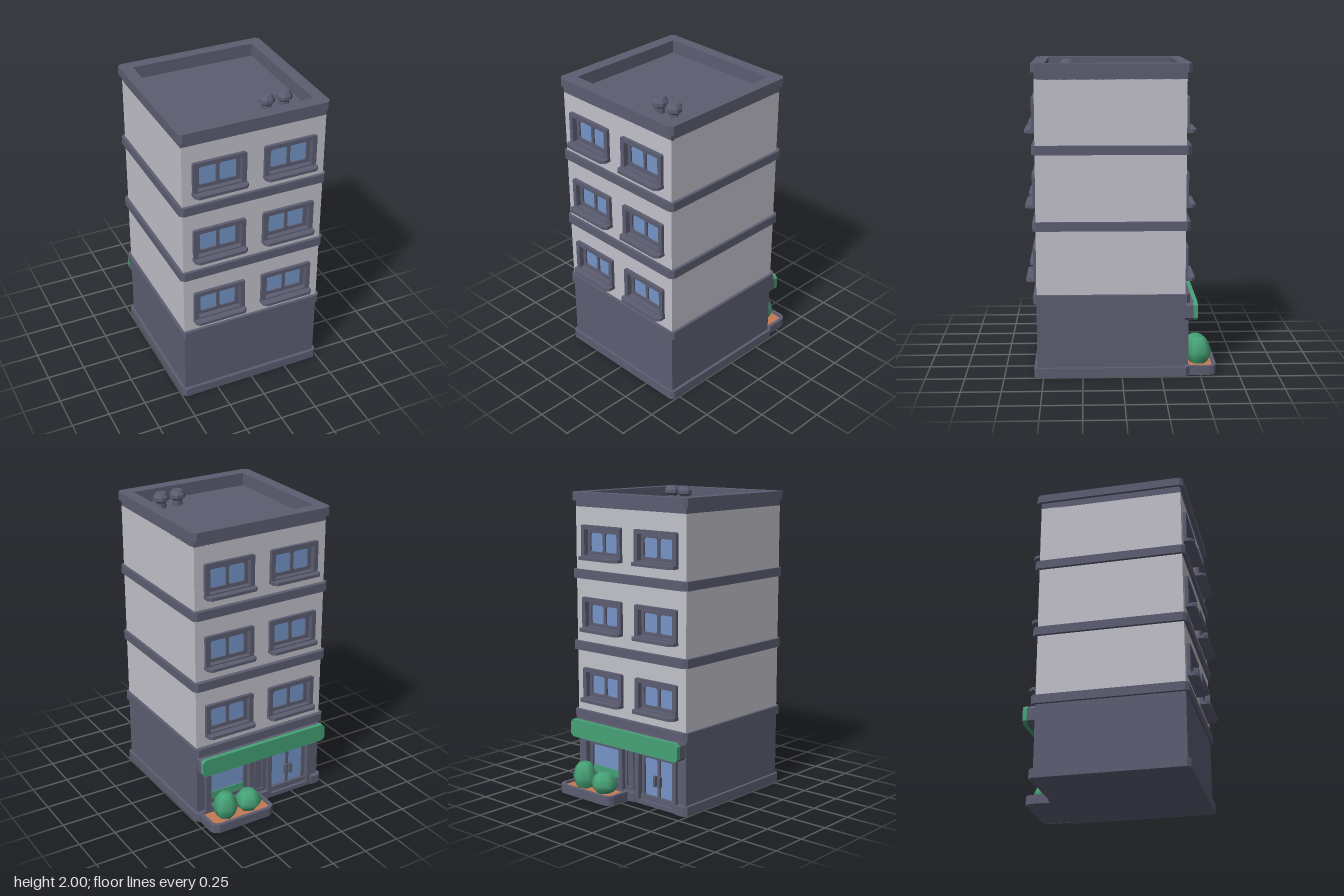
import * as THREE from 'three';

const mat = (name, color) => Object.assign(new THREE.MeshStandardMaterial({ color }), { name });

// Rectangle with clipped corners
function clipped(Type, cx, cy, w, h, c = 0) {
  const x = w / 2, y = h / 2;
  const pts = c
    ? [[-x + c, -y], [x - c, -y], [x, -y + c], [x, y - c], [x - c, y], [-x + c, y], [-x, y - c], [-x, -y + c]]
    : [[-x, -y], [x, -y], [x, y], [-x, y]];
  return new Type(pts.map(([a, b]) => new THREE.Vector2(a + cx, b + cy)));
}
const shape = (...a) => clipped(THREE.Shape, ...a);
const hole = (...a) => clipped(THREE.Path, ...a);

function add(parent, name, geometry, material, x = 0, y = 0, z = 0) {
  const m = new THREE.Mesh(geometry, material);
  m.name = name;
  m.position.set(x, y, z);
  parent.add(m);
  return m;
}

// Upright plate from z0 to z1
function plate(s, z0, z1, holes = []) {
  s.holes.push(...holes);
  return new THREE.ExtrudeGeometry(s, { depth: z1 - z0, bevelEnabled: false }).translate(0, 0, z0);
}
// Flat slab from y0 to y1; the outline's second axis is -z
function slab(s, y0, y1, holes = []) {
  return plate(s, y0, y1, holes).rotateX(-Math.PI / 2);
}

export function createModel() {
  const root = new THREE.Group();
  root.name = 'cornerBuilding';
  const wall = mat('paleWall', 0xc2c1ca);
  const trim = mat('slateTrim', 0x5c5e72);
  const glass = mat('blueGlass', 0x7595c8);
  const green = mat('leafGreen', 0x46a277);
  const soil = mat('terracottaSoil', 0xc27a55);

  const CX = 0.235, PITCH = 0.473, MID = -0.065;
  const rows = [0, 1, 2].map(i => 0.718 + i * PITCH);

  // Core and pierced front and back walls
  add(root, 'groundCore', new THREE.BoxGeometry(0.95, 0.5, 0.86), trim, 0, 0.25, 0.07);
  add(root, 'upperCore', new THREE.BoxGeometry(0.95, 1.39, 0.86), wall, 0, 1.195, 0.07);
  add(root, 'groundFrontWall', new THREE.BoxGeometry(0.95, 0.5, 0.04), trim, 0, 0.25, 0.52);
  const windowHoles = () => rows.flatMap(y => [-CX, CX].map(x => hole(x, y - 1.195, 0.32, 0.19)));
  for (const [name, z] of [['upperFrontWall', 0.52], ['upperBackWall', -0.38]])
    add(root, name, plate(shape(0, 0, 0.95, 1.39), -0.02, 0.02, windowHoles()), wall, 0, 1.195, z);
  add(root, 'groundBackWall', plate(shape(0, 0.25, 0.95, 0.5), -0.4, -0.36,
    [hole(-CX, 0.185, 0.32, 0.32), hole(CX, 0.215, 0.32, 0.26)]), trim);

  // Framed pair of panes, facing +z from the wall plane
  function framedPanes(name, w, h) {
    const g = new THREE.Group();
    g.name = name;
    const iw = w - 0.06, ih = h - 0.055, pw = 0.112, ph = ih - 0.045;
    add(g, 'outerFrame', plate(shape(0, 0, w, h, 0.006), -0.04, 0.022, [hole(0, 0, iw, ih)]), trim);
    add(g, 'innerFrame', plate(shape(0, 0, iw, ih), -0.04, -0.012,
      [-1, 1].map(s => hole(s * 0.066, 0, pw, ph, 0.01))), trim);
    for (const s of [-1, 1])
      add(g, 'pane', new THREE.BoxGeometry(pw, ph, 0.006), glass, s * 0.066, 0, -0.026);
    root.add(g);
    return g;
  }

  // Upper windows with sills on both faces
  for (const front of [true, false]) for (const y of rows) for (const x of [-CX, CX]) {
    const g = framedPanes('window', 0.35, 0.222);
    const sill = new THREE.Shape([[-0.177, 0], [-0.177, -0.045], [-0.155, -0.067], [0.155, -0.067],
      [0.177, -0.045], [0.177, 0]].map(p => new THREE.Vector2(...p)));
    add(g, 'sill', slab(sill, -0.112, -0.092), trim);
    g.position.set(x, y, front ? 0.54 : -0.4);
    if (!front) g.rotation.y = Math.PI;
  }

  // Storey bands
  for (const y of [0.48, 0.947, 1.425])
    add(root, 'storeyBand', slab(shape(0, MID, 0.99, 0.99, 0.022), y, y + 0.057), trim);

  // Sunken roof with raised rim
  add(root, 'roofDeck', slab(shape(0, -0.07, 0.95, 0.94), 1.885, 1.9), trim);
  const roofHole = () => [hole(0, -0.06, 0.83, 0.83)];
  add(root, 'parapetBase', slab(shape(0, -0.07, 0.95, 0.94), 1.9, 1.93, roofHole()), trim);
  add(root, 'parapetCap', slab(shape(0, MID, 0.99, 0.99, 0.022), 1.93, 1.985, roofHole()), trim);

  // Roof vents
  const ventProfile = [[0.033, 1.9], [0.033, 1.935], [0.051, 1.95], [0.051, 1.972], [0.034, 2], [0, 2]];
  for (const x of [0.173, 0.292]) {
    const geo = new THREE.LatheGeometry(ventProfile.map(p => new THREE.Vector2(...p)), 8, Math.PI / 8).toNonIndexed();
    geo.computeVertexNormals();
    add(root, 'roofVent', geo, trim, x, 0, 0.337);
  }

  // Plinth, cut away at the doorway
  const plinth = new THREE.Shape([[-0.473, -0.56], [0.473, -0.56], [0.495, -0.538], [0.495, 0.408],
    [0.473, 0.43], [-0.06, 0.43], [-0.06, 0.4], [-0.41, 0.4], [-0.41, 0.43], [-0.473, 0.43],
    [-0.495, 0.408], [-0.495, -0.538]].map(p => new THREE.Vector2(...p)));
  add(root, 'plinth', slab(plinth, 0, 0.06), trim);

  // Double door with handle plates
  const door = framedPanes('doubleDoor', 0.35, 0.36);
  door.position.set(-CX, 0.18, -0.4);
  door.rotation.y = Math.PI;
  for (const s of [-1, 1])
    add(door, 'doorHandle', new THREE.BoxGeometry(0.02, 0.07, 0.025), trim, s * 0.018, -0.01, 0);

  // Shop window with a single pane and a leafy strip along its foot
  const shop = new THREE.Group();
  shop.name = 'shopWindow';
  add(shop, 'outerFrame', plate(shape(0, 0, 0.37, 0.3), -0.04, 0.027, [hole(0, 0, 0.3, 0.24)]), trim);
  add(shop, 'innerFrame', plate(shape(0, 0, 0.3, 0.24), -0.04, -0.012, [hole(0, 0, 0.25, 0.195, 0.01)]), trim);
  add(shop, 'pane', new THREE.BoxGeometry(0.25, 0.195, 0.006), glass, 0, 0, -0.028);
  add(shop, 'leafStrip', new THREE.BoxGeometry(0.25, 0.05, 0.008), green, 0, -0.073, -0.022);
  shop.position.set(CX, 0.21, -0.4);
  shop.rotation.y = Math.PI;
  root.add(shop);

  // Pillar panel between window and door
  add(root, 'pillarPanel', plate(shape(0, 0.21, 0.07, 0.27), -0.412, -0.4, [hole(0, 0.21, 0.045, 0.24)]), trim);

  // Awning board
  add(root, 'awningBacking', plate(shape(0, 0.42, 0.945, 0.12, 0.02), -0.453, -0.4), trim);
  add(root, 'awningFace', plate(shape(0, 0.42, 0.945, 0.12, 0.02), -0.48, -0.453), green);

  // Planter with soil
  const planter = (inset, Type) => new Type([[inset, 0.42], [0.47 - inset, 0.42], [0.47 - inset, 0.56],
    [0.458 - inset, 0.59 - inset * 0.6], [0.425 - inset * 0.6, 0.607 - inset], [0.045 + inset * 0.6, 0.607 - inset],
    [0.012 + inset, 0.59 - inset * 0.6], [inset, 0.56]].map(p => new THREE.Vector2(...p)));
  add(root, 'planterRim', slab(planter(0, THREE.Shape), 0, 0.06, [planter(0.023, THREE.Path)]), trim);
  add(root, 'planterFloor', slab(planter(0.01, THREE.Shape), 0.001, 0.02), trim);
  add(root, 'planterSoil', slab(planter(0.022, THREE.Shape), 0.021, 0.046), soil);

  // Bushes
  function bush(x, z, profile) {
    add(root, 'bush', new THREE.LatheGeometry(profile.map(p => new THREE.Vector2(...p)), 6), green, x, 0, z);
  }
  bush(0.145, -0.498, [[0.055, 0.04], [0.075, 0.065], [0.092, 0.1], [0.07, 0.15], [0.04, 0.175], [0, 0.175]]);
  bush(0.322, -0.502, [[0.055, 0.04], [0.07, 0.07], [0.083, 0.115], [0.066, 0.175], [0.04, 0.21], [0, 0.21]]);

  return root;
}
